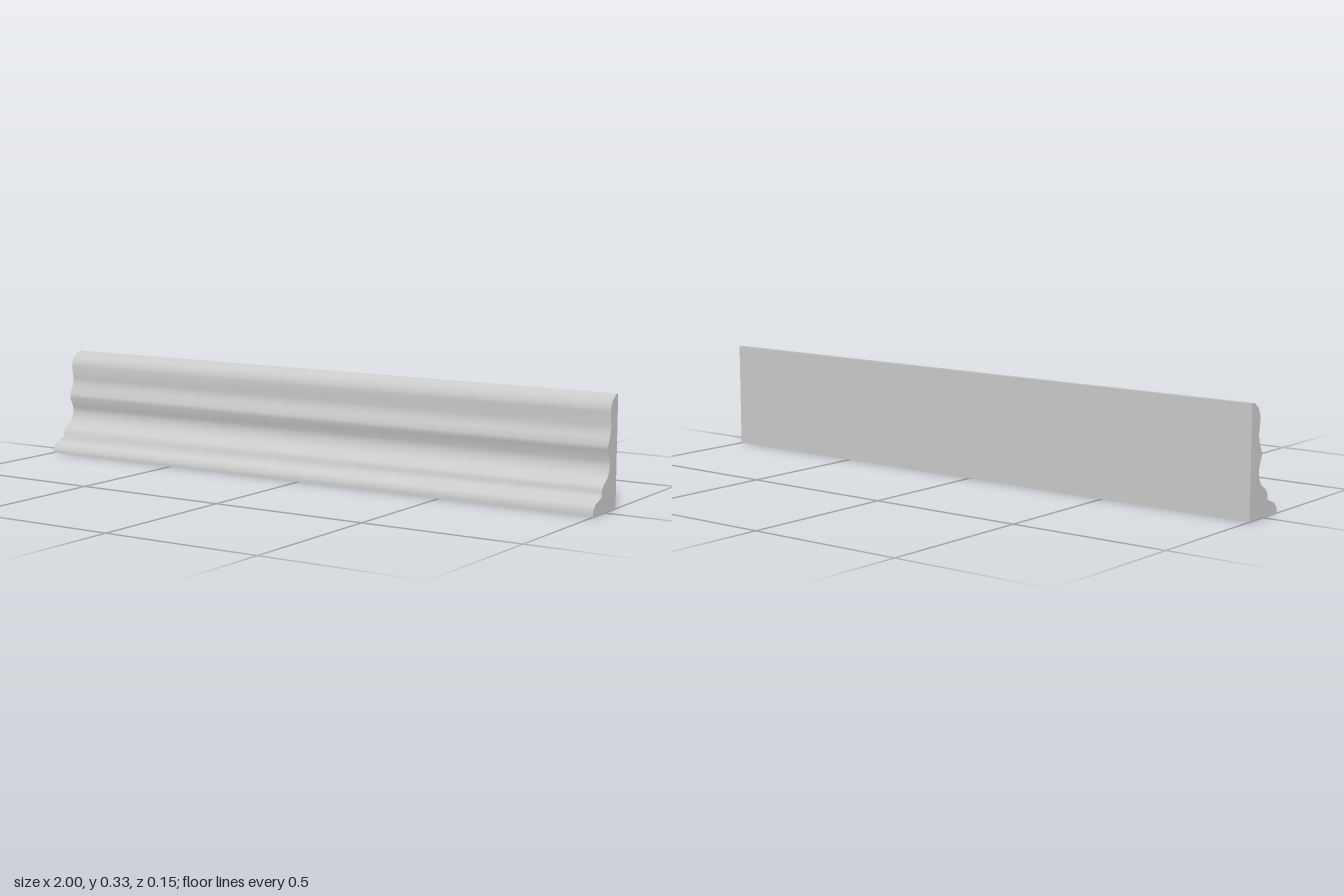
import * as THREE from 'three';
import { toCreasedNormals } from 'three/addons/utils/BufferGeometryUtils.js';

// Moulding cross-section as [z, y], from the front foot up to the back top
const PROFILE = [
  [0.075, 0], [0.075, 0.016], [0.063, 0.032],                      // rounded foot
  [0.022, 0.048], [0.022, 0.066], [0.011, 0.08],                   // small step
  [-0.015, 0.097], [-0.024, 0.113], [-0.029, 0.128], [-0.029, 0.145], // lower cove
  [-0.015, 0.178], [-0.015, 0.191],                                // middle bead
  [-0.026, 0.213], [-0.031, 0.228], [-0.033, 0.243],               // upper cove
  [-0.027, 0.286], [-0.03, 0.3], [-0.039, 0.318], [-0.061, 0.334], // top bead
  [-0.074, 0.334], [-0.074, 0],                                    // flat back
];
const LENGTH = 2;

export function createModel() {
  const group = new THREE.Group();
  group.name = 'moulding';

  // Shape x is -z, so a quarter turn lays the extrusion along x
  const shape = new THREE.Shape(PROFILE.map(([z, y]) => new THREE.Vector2(-z, y)));
  const extrusion = new THREE.ExtrudeGeometry(shape, { depth: LENGTH, bevelEnabled: false });
  extrusion.translate(0, 0, -LENGTH / 2);
  extrusion.rotateY(Math.PI / 2);

  // Smooth across the face, sharp at the ends, back and base
  const geometry = toCreasedNormals(extrusion, THREE.MathUtils.degToRad(75));
  const board = new THREE.Mesh(geometry, new THREE.MeshStandardMaterial({ color: 0xcccccc }));
  board.name = 'profiledBoard';
  group.add(board);

  return group;
}
